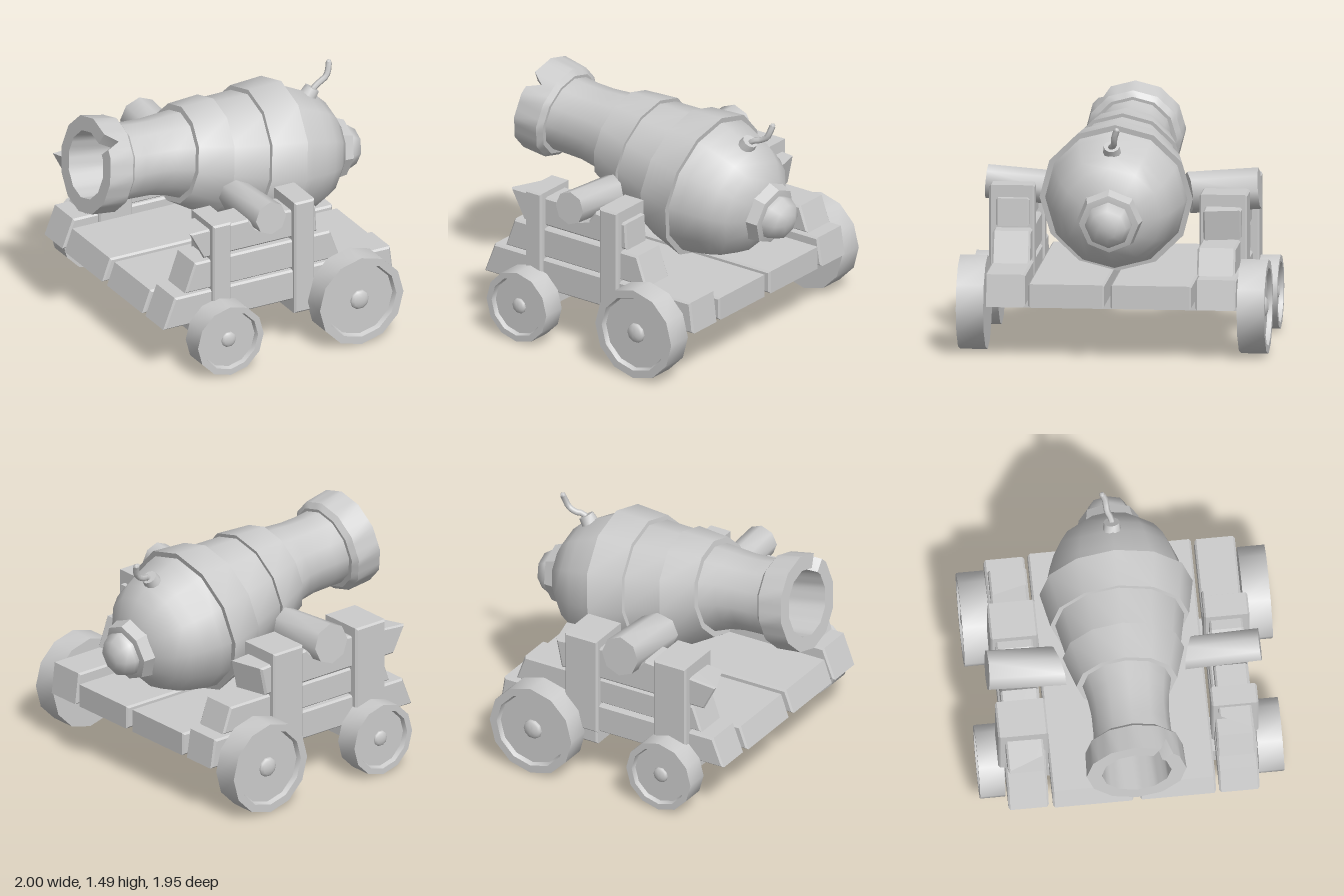
import * as THREE from 'three';
import { toCreasedNormals } from 'three/addons/utils/BufferGeometryUtils.js';

const grey = new THREE.MeshStandardMaterial({ color: 0xcccccc });

function add(parent, name, geometry, crease = 0.6) {
  const mesh = new THREE.Mesh(toCreasedNormals(geometry, crease), grey);
  mesh.name = name;
  parent.add(mesh);
  return mesh;
}

const lathe = (pts, sides) =>
  new THREE.LatheGeometry(pts.map(([r, y]) => new THREE.Vector2(r, y)), sides);

// Side outline in x and y, extruded from z0 to z1 with chamfered edges.
// skewLeft and skewRight slant the -x and +x ends across the thickness.
function plank(parent, name, pts, z0, z1, skewLeft = 0, skewRight = 0) {
  const b = 0.012;
  const shape = new THREE.Shape(pts.map(([x, y]) => new THREE.Vector2(x, y)));
  const g = new THREE.ExtrudeGeometry(shape, {
    depth: z1 - z0 - 2 * b, bevelEnabled: true, bevelSegments: 1,
    bevelSize: b, bevelThickness: b, bevelOffset: -b,
  });
  g.translate(0, 0, z0 + b);
  const p = g.attributes.position;
  for (let i = 0; i < p.count; i++) {
    const x = p.getX(i);
    const skew = x < -0.3 ? skewLeft : x > 0.3 ? skewRight : 0;
    p.setX(i, x + skew * (p.getZ(i) - (z0 + z1) / 2));
  }
  return add(parent, name, g, 0.3);
}

const rect = (x0, x1, y0, y1) => [[x0, y0], [x1, y0], [x1, y1], [x0, y1]];

// Barrel parts are turned around local y, running from muzzle to breech
function buildBarrel() {
  const barrel = new THREE.Group();
  barrel.name = 'barrel';
  const sides = 12;

  // Slight upward bow around the neck (local -x is up)
  const bow = (g) => {
    const p = g.attributes.position;
    for (let i = 0; i < p.count; i++) {
      const d = (p.getY(i) - 0.57) / 0.27;
      p.setX(i, p.getX(i) - 0.038 * Math.exp(-d * d));
    }
    return g;
  };

  // Muzzle ring with bore: 36 steps flattened to 12 sides, one step cut back as a notch
  const ring = lathe([[0, 0.5], [0.2, 0.5], [0.22, 0], [0.315, 0], [0.308, 0.17], [0.275, 0.2], [0.23, 0.2]], 36);
  const p = ring.attributes.position;
  const step = Math.PI / 6;
  for (let i = 0; i < p.count; i++) {
    const x = p.getX(i), z = p.getZ(i), y = p.getY(i);
    const a = Math.atan2(x, z) + 2 * Math.PI;
    const k = Math.cos(step / 2) / Math.cos((a + 1e-6) % step - step / 2);
    const notch = y < 0.01 && Math.abs(a - THREE.MathUtils.degToRad(310)) < 0.05;
    p.setXYZ(i, x * k, notch ? 0.09 : y, z * k);
  }
  add(barrel, 'muzzleRing', ring);

  add(barrel, 'neck', bow(lathe([[0.25, 0.18], [0.244, 0.3], [0.244, 0.42], [0.256, 0.52], [0.285, 0.66]], sides)));
  add(barrel, 'frontBand', bow(lathe([[0.26, 0.635], [0.318, 0.635], [0.384, 0.862], [0.33, 0.862]], sides)));
  add(barrel, 'middleSection', bow(lathe([[0.355, 0.84], [0.412, 1.13]], sides)));
  add(barrel, 'rearBand', lathe([[0.38, 1.108], [0.438, 1.108], [0.484, 1.34], [0.42, 1.34]], sides));
  add(barrel, 'breech', lathe([[0.452, 1.32], [0.436, 1.41], [0.4, 1.53], [0.37, 1.61], [0.315, 1.69], [0.21, 1.77], [0, 1.8]], sides), 0.75);
  add(barrel, 'breechPlate', lathe([[0.12, 1.76], [0.208, 1.765], [0.188, 1.845], [0.15, 1.853], [0, 1.853]], 8), 0.5);
  add(barrel, 'breechKnob', lathe([[0.148, 1.84], [0.147, 1.88], [0.118, 1.937], [0.06, 1.968], [0, 1.975]], 8), 0.9);

  barrel.position.set(-0.955, 1.182, 0);
  barrel.rotation.z = -THREE.MathUtils.degToRad(99.5);
  return barrel;
}

function buildFuse() {
  const fuse = new THREE.Group();
  fuse.name = 'fuse';
  const collar = add(fuse, 'fuseCollar', new THREE.CylinderGeometry(0.05, 0.058, 0.06, 10), 0.7);
  collar.position.set(0.653, 1.315, 0);
  collar.rotation.z = -0.6;
  const path = new THREE.CatmullRomCurve3([
    [0.65, 1.3, 0], [0.69, 1.345, 0], [0.735, 1.357, -0.02], [0.78, 1.382, -0.025], [0.8, 1.42, -0.03], [0.812, 1.465, -0.045],
  ].map((v) => new THREE.Vector3(...v)));
  add(fuse, 'fuseCord', new THREE.TubeGeometry(path, 10, 0.02, 6), 1.2);
  add(fuse, 'fuseTip', new THREE.SphereGeometry(0.019, 6, 4), 1.2).position.set(0.812, 1.465, -0.045);
  return fuse;
}

// Trunnion rising slightly outward, its inner end cut to follow the barrel flare
function buildTrunnion(name, side, r, y) {
  const g = new THREE.CylinderGeometry(r, r, 0.45, 8);
  const p = g.attributes.position;
  for (let i = 0; i < p.count; i++)
    if (p.getY(i) < 0) p.setY(i, p.getY(i) + 0.3 * p.getX(i));
  const group = new THREE.Group();
  group.name = name;
  add(group, 'trunnionBar', g, 0.9);
  group.position.set(-0.102, y, side * 0.637);
  group.rotation.x = side * (Math.PI / 2 - 0.08);
  return group;
}

// Wheel with a recessed face and a low domed hub inside the recess
function buildWheel(name, x, y, r, width, side) {
  const wheel = new THREE.Group();
  wheel.name = name;
  const face = width - 0.03;
  add(wheel, 'wheelRim', lathe([[0, 0], [r, 0], [r, width], [0.83 * r, width], [0.79 * r, face], [0, face]], 12));
  const hub = add(wheel, 'wheelHub', new THREE.SphereGeometry(r * 0.22, 10, 8), 1);
  hub.position.y = face;
  hub.scale.y = 0.45;
  wheel.position.set(x, y, side * 0.8);
  wheel.rotation.x = side * Math.PI / 2;
  return wheel;
}

export function createModel() {
  const model = new THREE.Group();
  model.name = 'cannon';
  model.add(buildBarrel(), buildFuse());
  model.add(buildTrunnion('leftTrunnion', 1, 0.108, 0.957), buildTrunnion('rightTrunnion', -1, 0.132, 0.94));

  // Floor planks with a sloped front end and a narrow gap between them
  const floor = [[-0.83, 0.33], [0.82, 0.33], [0.82, 0.48], [-0.775, 0.48]];
  plank(model, 'floorPlankLeft', floor, 0.035, 0.515);
  plank(model, 'floorPlankRight', floor, -0.515, -0.005);

  // Axle beams
  plank(model, 'frontAxle', rect(-0.565, -0.335, 0.2, 0.365), -0.81, 0.81);
  plank(model, 'rearAxle', rect(0.095, 0.325, 0.245, 0.365), -0.81, 0.81);

  // Left cheek: three stacked planks, the top one with a saddle, and two posts
  const left = new THREE.Group();
  left.name = 'leftCheek';
  plank(left, 'lowerPlank', [[-0.83, 0.33], [0.82, 0.33], [0.795, 0.535], [-0.75, 0.535]], 0.535, 0.79);
  plank(left, 'middlePlank', [[-0.67, 0.545], [0.44, 0.545], [0.37, 0.74], [-0.6, 0.74]], 0.54, 0.78);
  plank(left, 'upperPlank', [[-0.49, 0.755], [0.28, 0.755], [0.27, 0.93], [0.03, 0.95], [-0.02, 0.88], [-0.1, 0.855], [-0.16, 0.88], [-0.21, 0.95], [-0.59, 0.945]], 0.56, 0.77, -0.45);
  plank(left, 'frontPost', rect(-0.49, -0.36, 0.33, 0.985), 0.52, 0.815);
  plank(left, 'rearPost', rect(0.095, 0.24, 0.24, 1.01), 0.53, 0.815);

  // Right cheek: same build with longer planks and wider posts
  const right = new THREE.Group();
  right.name = 'rightCheek';
  plank(right, 'lowerPlank', [[-0.82, 0.33], [0.82, 0.33], [0.79, 0.52], [-0.745, 0.52]], -0.795, -0.54);
  plank(right, 'middlePlank', [[-0.65, 0.53], [0.71, 0.53], [0.65, 0.7], [-0.59, 0.7]], -0.78, -0.54);
  plank(right, 'upperPlank', [[-0.63, 0.71], [0.4, 0.71], [0.44, 0.9], [0.04, 0.93], [-0.03, 0.86], [-0.17, 0.86], [-0.24, 0.93], [-0.72, 0.885]], -0.79, -0.555, 0.4, 0.25);
  plank(right, 'frontPost', rect(-0.57, -0.33, 0.33, 0.985), -0.835, -0.52);
  plank(right, 'rearPost', rect(0.09, 0.33, 0.33, 0.985), -0.82, -0.52);
  model.add(left, right);

  // Wheels
  for (const side of [1, -1]) {
    const s = side > 0 ? 'Left' : 'Right';
    model.add(buildWheel('frontWheel' + s, -0.445, 0.24, 0.236, 0.16, side));
    model.add(buildWheel('rearWheel' + s, 0.487, 0.305, 0.3, 0.173, side));
  }
  return model;
}
